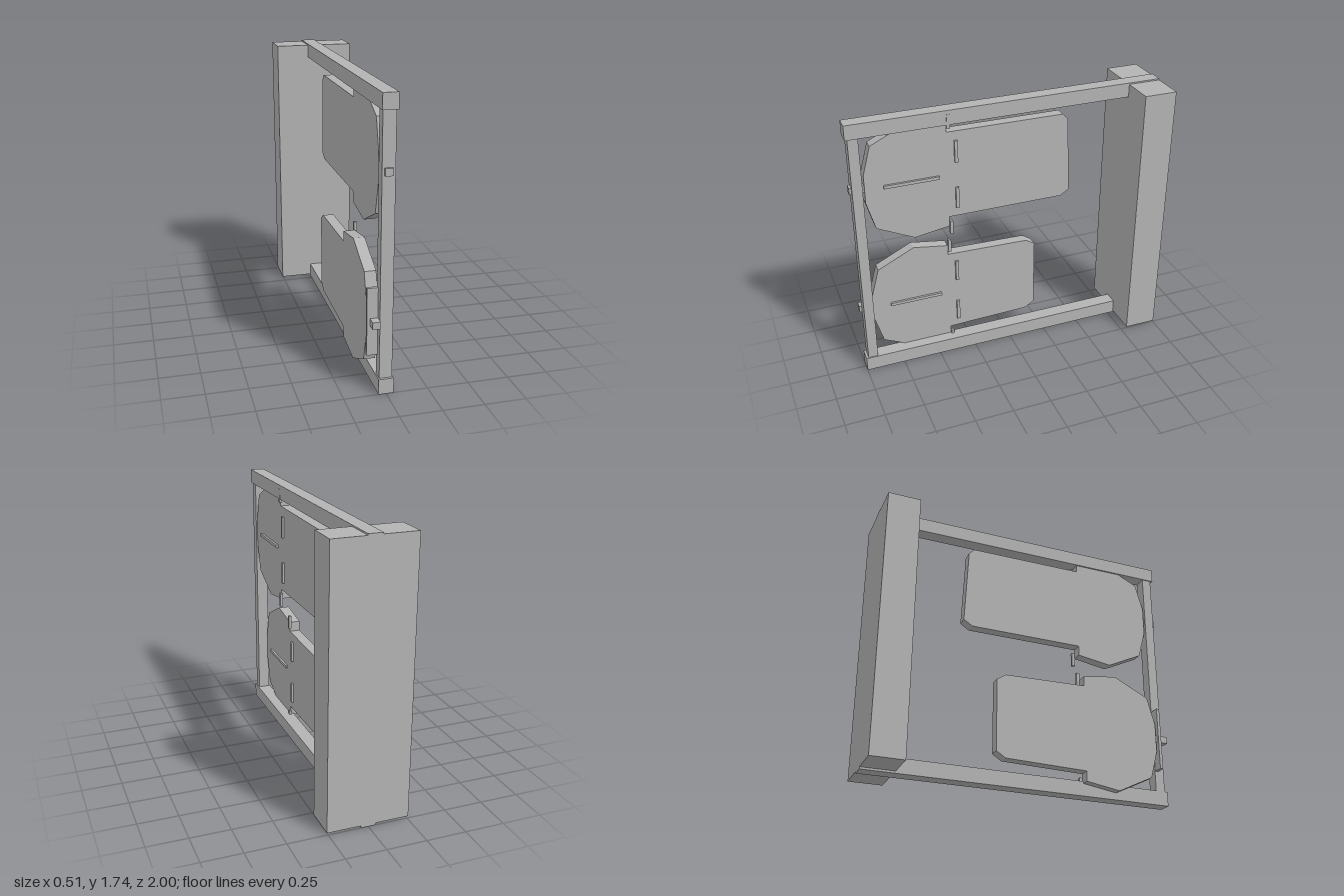
import * as THREE from 'three';

export function createModel() {
  const model = new THREE.Group();
  model.name = 'panelFrame';
  const grey = new THREE.MeshStandardMaterial({ color: 0xb3b3b3 });
  grey.name = 'grey';

  // Box from its lower and upper bounds on each axis
  function box(parent, name, [x0, x1], [y0, y1], [z0, z1]) {
    const mesh = new THREE.Mesh(new THREE.BoxGeometry(x1 - x0, y1 - y0, z1 - z0), grey);
    mesh.position.set((x0 + x1) / 2, (y0 + y1) / 2, (z0 + z1) / 2);
    mesh.name = name;
    parent.add(mesh);
  }

  // Frame: wide rear column, two rails and a slim front post
  box(model, 'rearColumn', [-0.257, 0.257], [0.013, 1.733], [-1, -0.79]);
  box(model, 'bottomRail', [-0.045, 0.045], [0, 0.094], [-1, 1]);
  box(model, 'topRail', [-0.045, 0.045], [1.65, 1.742], [-1, 1]);
  box(model, 'frontPost', [-0.038, 0.038], [0.094, 1.65], [0.922, 0.985]);

  // Broad front half of a panel, as (z, y offset), ending in a shoulder
  const head = [[0.91, 0.093], [0.86, 0.273], [0.625, 0.387], [0.4, 0.352], [0.4, 0.286]];

  // Panel with its ribs and handle, centred at (x, y); tail closes the outline
  function panel(name, x, y, tail) {
    const group = new THREE.Group();
    group.name = name;
    group.position.set(x, y, 0);
    model.add(group);

    const outline = [...head, ...tail, ...head.map(([z, h]) => [z, -h]).reverse()];
    const shape = new THREE.Shape(outline.map(([z, h]) => new THREE.Vector2(-z, h)));
    const geometry = new THREE.ExtrudeGeometry(shape, { depth: 0.069, bevelEnabled: false });
    geometry.rotateY(Math.PI / 2).translate(-0.0345, 0, 0);
    const board = new THREE.Mesh(geometry, grey);
    board.name = 'board';
    group.add(board);

    // Ribs on the left face, and small tabs at the shoulders
    const out = [0.03, 0.049];
    box(group, 'longRib', out, [-0.01, 0.01], [0.455, 0.797]);
    for (const s of [-1, 1]) {
      const span = (a, b) => (s > 0 ? [a, b] : [-b, -a]);
      box(group, 'crossRib', out, span(0.085, 0.226), [0.335, 0.355]);
      box(group, 'shoulderTab', out, span(0.312, 0.402), [0.38, 0.4]);
    }
    box(group, 'handle', [-0.023, 0.023], [-0.022, 0.022], [0.9, 1]);
    return group;
  }

  panel('upperPanel', -0.001, 1.315,
    [[-0.35, 0.284], [-0.385, 0.248], [-0.408, -0.247], [-0.35, -0.284]]);
  const lower = panel('lowerPanel', -0.061, 0.432,
    [[-0.14, 0.272], [-0.2, 0.234], [-0.2, -0.234], [-0.14, -0.272]]);

  // Upright strip across the lower handle
  box(lower, 'handleStrip', [-0.041, 0.03], [-0.206, 0.206], [0.925, 0.945]);

  return model;
}
